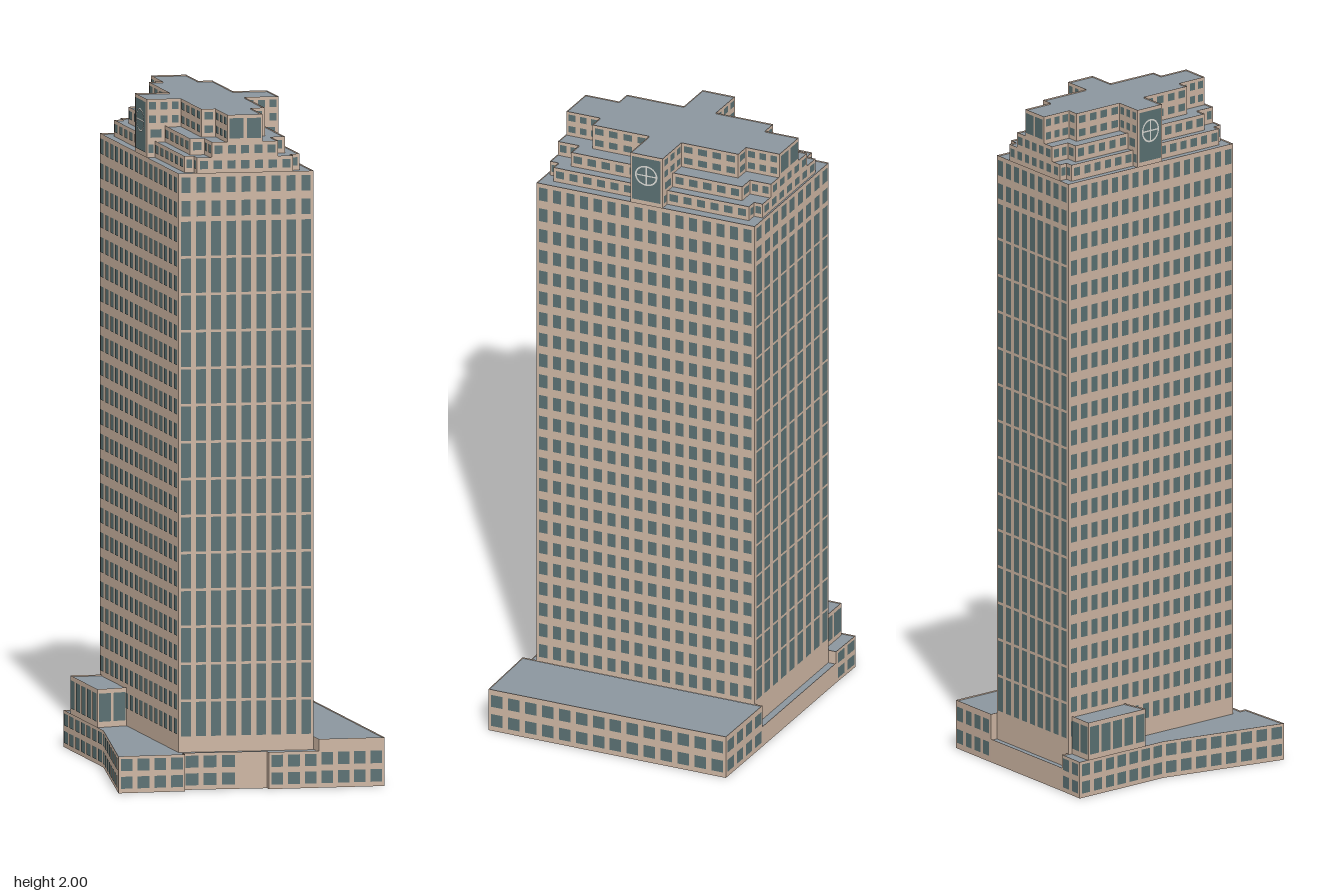
import * as THREE from 'three';

const mat = (name, color, side = THREE.FrontSide) => {
  const m = new THREE.MeshStandardMaterial({ color, side });
  m.name = name;
  return m;
};

export function createModel() {
  const root = new THREE.Group();
  root.name = 'skyscraper';
  const stone = mat('stone', 0xcdb5a2, THREE.DoubleSide);
  const glass = mat('glass', 0x5a7072);
  const slate = mat('slate', 0x8b969e, THREE.DoubleSide);
  const pale = mat('pale trim', 0xd8d8d2);

  const add = (name, geometry, material) => {
    const mesh = new THREE.Mesh(geometry, material);
    mesh.name = name;
    root.add(mesh);
    return mesh;
  };

  // Upright rectangle on the wall line a -> b (a is on the left seen from outside)
  const quad = (out, a, b, t0, t1, y0, y1, lift = 0) => {
    const dx = b[0] - a[0], dz = b[1] - a[1], len = Math.hypot(dx, dz);
    const nx = (-dz / len) * lift, nz = (dx / len) * lift;
    const p = (t, y) => [a[0] + dx * t + nx, y, a[1] + dz * t + nz];
    const A = p(t0, y0), B = p(t1, y0), C = p(t1, y1), D = p(t0, y1);
    out.push(...A, ...B, ...C, ...A, ...C, ...D);
  };
  const toGeometry = (pos) => {
    const g = new THREE.BufferGeometry();
    g.setAttribute('position', new THREE.Float32BufferAttribute(pos, 3));
    g.computeVertexNormals();
    return g;
  };

  // Even grid of window panes on one wall
  const panes = (out, a, b, y0, y1, cols, rows, fw = 0.62, fh = 0.62) => {
    const h = (y1 - y0) / rows;
    for (let r = 0; r < rows; r++) {
      for (let c = 0; c < cols; c++) {
        const y = y0 + (r + 0.5) * h, t = (c + 0.5) / cols;
        quad(out, a, b, t - fw / 2 / cols, t + fw / 2 / cols, y - (h * fh) / 2, y + (h * fh) / 2, 0.0015);
      }
    }
  };

  // Walls around a ring with a roof set just below their top.
  // starts: wall foot height per edge, null leaves the edge open
  const block = (name, ring, starts, top) => {
    const walls = [];
    ring.forEach((a, i) => {
      const foot = Array.isArray(starts) ? starts[i] : starts;
      if (foot !== null) quad(walls, a, ring[(i + 1) % ring.length], 0, 1, foot, top);
    });
    add(name + ' walls', toGeometry(walls), stone);
    const roof = new THREE.ShapeGeometry(new THREE.Shape(ring.map(([x, z]) => new THREE.Vector2(x, -z))));
    roof.rotateX(-Math.PI / 2).translate(0, top - 0.004, 0);
    add(name + ' roof', roof, slate);
  };

  // Skewed plan: z shifts with x
  const P = (x, w) => [x, w - 0.017 + 0.234 * x];

  // Tower shaft
  const shaft = [P(-0.194, 0.339), P(0.194, 0.339), P(0.194, -0.339), P(-0.194, -0.339)];
  const TOP = 1.83;
  block('tower', shaft, [0.106, 0.141, 0.066, 0.106], TOP);
  const shaftPanes = [];
  shaft.forEach((a, i) => {
    const b = shaft[(i + 1) % 4];
    if (i % 2) {
      panes(shaftPanes, a, b, 0.145, TOP, 16, 23, 0.6, 0.62);
    } else {
      panes(shaftPanes, a, b, 0.15, 1.69, 9, 14, 0.64, 0.93);
      panes(shaftPanes, a, b, 1.69, TOP, 9, 2, 0.6, 0.66);
    }
  });
  add('tower windows', toGeometry(shaftPanes), glass);

  // Stepped crown: three cross-shaped tiers
  const X = 0.189, W = 0.331, E = 0.05;
  const tiers = [
    { a: 0.165, b: 0.304, c: 0.138, y0: TOP - 0.004, y1: 1.875, rows: 1 },
    { a: 0.136, b: 0.266, c: 0.095, y0: 1.871, y1: 1.92, rows: 1 },
    { a: 0.091, b: 0.227, c: 0.05, y0: 1.916, y1: 2, rows: 2 },
  ];
  const crownPanes = [];
  tiers.forEach(({ a, b, c, y0, y1, rows }, k) => {
    const quarter = [[c, W], [c, b], [a, b], [a, E], [X, E]];
    const half = [...quarter, ...quarter.slice().reverse().map(([x, w]) => [x, -w])];
    const ring = [...half, ...half.map(([x, w]) => [-x, -w])].map(([x, w]) => P(x, w));
    block('crown tier ' + (k + 1), ring, y0, y1);
    ring.forEach((p, i) => {
      const q = ring[(i + 1) % ring.length];
      const len = Math.hypot(q[0] - p[0], q[1] - p[1]);
      if (i % 10 === 4 || len < 0.024) return; // clock faces and tiny returns
      const gable = i % 10 === 9;
      if (gable && k === 2) panes(crownPanes, p, q, y0 + 0.004, y1, 2, 1, 0.8, 0.75);
      else panes(crownPanes, p, q, y0 + 0.004, y1, Math.max(1, Math.round(len / 0.04)), rows, 0.6, 0.55);
    });
  });
  add('crown windows', toGeometry(crownPanes), glass);

  // Glazed clock bays on both sides
  for (const s of [1, -1]) {
    const bay = [];
    quad(bay, P(s * X, s * E), P(s * X, -s * E), 0.06, 0.94, 1.84, 1.99, 0.0015);
    add('clock bay glass', toGeometry(bay), glass);
    const clock = new THREE.Group();
    clock.name = 'clock';
    clock.add(
      new THREE.Mesh(new THREE.RingGeometry(0.03, 0.035, 28), pale),
      new THREE.Mesh(new THREE.PlaneGeometry(0.062, 0.004), pale),
      new THREE.Mesh(new THREE.PlaneGeometry(0.004, 0.062), pale),
    );
    const [x, z] = P(s * X, 0);
    clock.position.set(x + s * 0.003, 1.93, z);
    clock.rotation.y = (s * Math.PI) / 2;
    root.add(clock);
  }

  // Podium blocks around the foot
  const east = [[0.195, 0.41], [0.385, 0.448], [0.385, -0.29], [0.195, -0.335], [0.195, -0.31], [0.195, 0.363]];
  block('east podium', east, [0, 0, 0, 0.066, null, 0.106], 0.145);
  const front = [[-0.192, 0.308], [0.05, 0.365], [0.05, 0.381], [0.195, 0.41], [0.195, 0.363], [-0.192, 0.275]];
  block('front podium', front, [0, 0, 0, null, null, null], 0.11);
  const west = [[-0.387, 0.295], [-0.192, 0.33], [-0.192, 0.308], [-0.192, -0.4], [-0.192, -0.425], [-0.29, -0.45], [-0.29, -0.105]];
  block('west podium', west, [0, 0, null, 0.066, 0, 0, 0], 0.11);
  block('back podium', [[0.195, -0.335], [-0.192, -0.425], [-0.192, -0.4], [0.195, -0.31]], [0, null, null, null], 0.07);
  const annex = [[-0.284, -0.172], [-0.194, -0.172], [-0.194, -0.387], [-0.284, -0.408]];
  block('annex', annex, [0.106, null, 0.106, 0.106], 0.22);

  // Podium windows
  const low = [];
  panes(low, east[0], east[1], 0.005, 0.115, 4, 2, 0.7, 0.68);
  panes(low, east[1], east[2], 0.005, 0.14, 14, 2, 0.68, 0.62);
  panes(low, east[2], east[3], 0.005, 0.14, 4, 2, 0.68, 0.62);
  panes(low, front[2], front[3], 0.005, 0.11, 3, 2, 0.7, 0.68);
  panes(low, front[0], [-0.035, 0.345], 0.005, 0.11, 3, 2, 0.7, 0.68);
  panes(low, west[0], west[1], 0.005, 0.11, 4, 2, 0.7, 0.68);
  panes(low, west[4], west[5], 0.005, 0.11, 2, 2, 0.7, 0.68);
  panes(low, west[5], west[6], 0.005, 0.11, 7, 2, 0.7, 0.68);
  panes(low, west[6], west[0], 0.005, 0.11, 8, 2, 0.7, 0.68);
  panes(low, annex[0], annex[1], 0.115, 0.215, 2, 1, 0.82, 0.84);
  panes(low, annex[2], annex[3], 0.115, 0.215, 2, 1, 0.82, 0.84);
  panes(low, annex[3], annex[0], 0.115, 0.215, 5, 1, 0.75, 0.84);
  add('podium windows', toGeometry(low), glass);

  return root;
}
